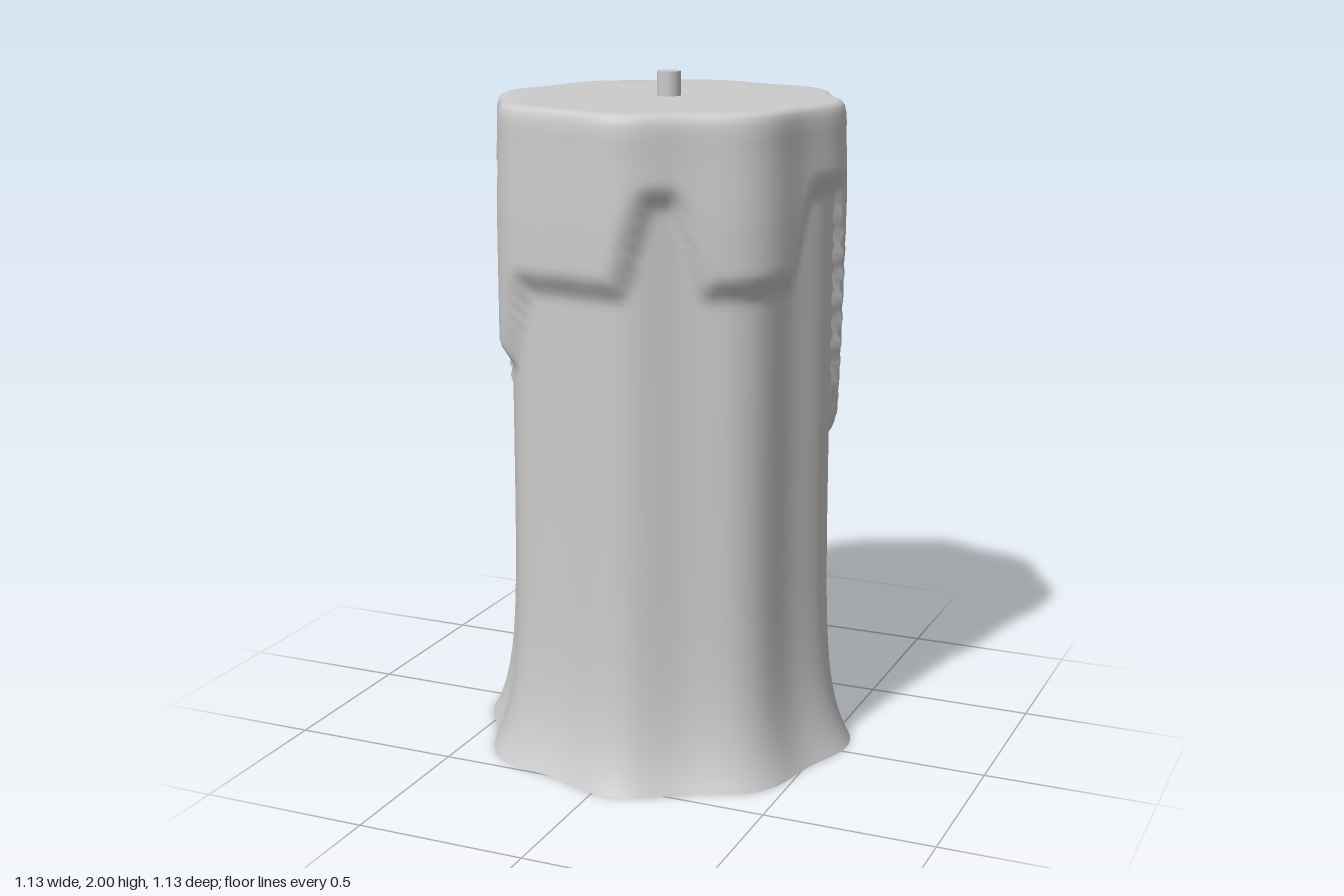
import * as THREE from 'three';
import { mergeVertices } from 'three/addons/utils/BufferGeometryUtils.js';

const TOP = 1.93, COAT = 0.042, ARC = 0.5, SEGMENTS = 240;
const wax = new THREE.MeshStandardMaterial({ color: 0xcccccc });

// Lower edge of the melted coat: [angle in degrees from +z towards +x, height]
const EDGE = [
  [-30, 1.43], [6, 1.44], [18, 1.69], [23, 1.69], [36, 1.44], [68, 1.44], [82, 1.69], [96, 1.69],
  [108, 0.95], [117, 0.95], [127, 1.43], [136, 1.45], [152, 1.69], [159, 1.69], [174, 0.95],
  [184, 0.95], [194, 1.42], [205, 1.42], [217, 1.21], [227, 1.21], [241, 1.69], [247, 1.69],
  [259, 0.97], [272, 0.97], [285, 1.69], [293, 1.69], [310, 1.2], [318, 1.2], [330, 1.43],
];

function edgeHeight(deg) {
  const a = ((deg + 30) % 360 + 360) % 360 - 30;
  const i = Math.max(1, EDGE.findIndex((p) => p[0] >= a));
  const [a0, y0] = EDGE[i - 1], [a1, y1] = EDGE[i];
  return THREE.MathUtils.lerp(y0, y1, THREE.MathUtils.smoothstep(a, a0, a1));
}

// Edge sampled as an unrolled line, for measuring distance to it
const edgeLine = [];
for (let d = -30; d < 390; d += 0.75) {
  edgeLine.push([THREE.MathUtils.degToRad(d) * ARC, edgeHeight(d)]);
}

// Coat thickness: swells from nothing just below the edge to full just above it
function coat(angle, y) {
  if (y > 1.8) return COAT;
  if (y < 0.85) return 0;
  const s = angle * ARC;
  let best = 1;
  for (const [es, ey] of edgeLine) best = Math.min(best, Math.hypot(es - s, ey - y));
  const sign = y > edgeHeight(THREE.MathUtils.radToDeg(angle)) ? 1 : -1;
  return COAT * THREE.MathUtils.smoothstep(best * sign, -0.035, 0.055);
}

// Soft eight-cornered plan, turned slightly
const plan = (angle) => 0.967 + 0.033 * Math.cos(8 * (angle - THREE.MathUtils.degToRad(6)));

// Turn a profile, then shape it by the plan and the coat
function shapedLathe(points) {
  let geo = new THREE.LatheGeometry(points, SEGMENTS);
  geo.deleteAttribute('uv');
  geo.deleteAttribute('normal');
  geo = mergeVertices(geo, 1e-5);
  const pos = geo.attributes.position;
  for (let i = 0; i < pos.count; i++) {
    const x = pos.getX(i), y = pos.getY(i), z = pos.getZ(i);
    const r = Math.hypot(x, z);
    let angle = Math.atan2(x, z);
    if (angle < 0) angle += Math.PI * 2;
    const out = r * plan(angle) + coat(angle, y) * Math.min(1, r / 0.45);
    pos.setXYZ(i, Math.sin(angle) * out, y, Math.cos(angle) * out);
  }
  geo.computeVertexNormals();
  return geo;
}

function addMesh(group, name, geometry) {
  const mesh = new THREE.Mesh(geometry, wax);
  mesh.name = name;
  group.add(mesh);
  return mesh;
}

export function createModel() {
  const group = new THREE.Group();
  group.name = 'candle';

  // Flared wall, rounded rim and flat top
  const wallRadius = (y) => 0.483 + 0.085 * Math.exp(-y / 0.15);
  const profile = [];
  const rows = 100;
  for (let i = 0; i <= rows; i++) {
    const y = (i / rows) * 1.87;
    const taper = 0.008 * THREE.MathUtils.smoothstep(y, 1.6, 1.87);
    profile.push(new THREE.Vector2(wallRadius(y) - taper, y));
  }
  for (const [r, y] of [[0.473, 1.895], [0.469, 1.913], [0.461, 1.924], [0.448, 1.929],
    [0.43, TOP], [0.3, TOP], [0, TOP]]) {
    profile.push(new THREE.Vector2(r, y));
  }
  addMesh(group, 'waxBody', shapedLathe(profile));

  // Flat underside
  addMesh(group, 'base', shapedLathe([new THREE.Vector2(0, 0), new THREE.Vector2(wallRadius(0), 0)]));

  // Wick
  const wick = addMesh(group, 'wick', new THREE.CylinderGeometry(0.035, 0.035, 0.1, 24));
  wick.position.y = 1.95;

  return group;
}
